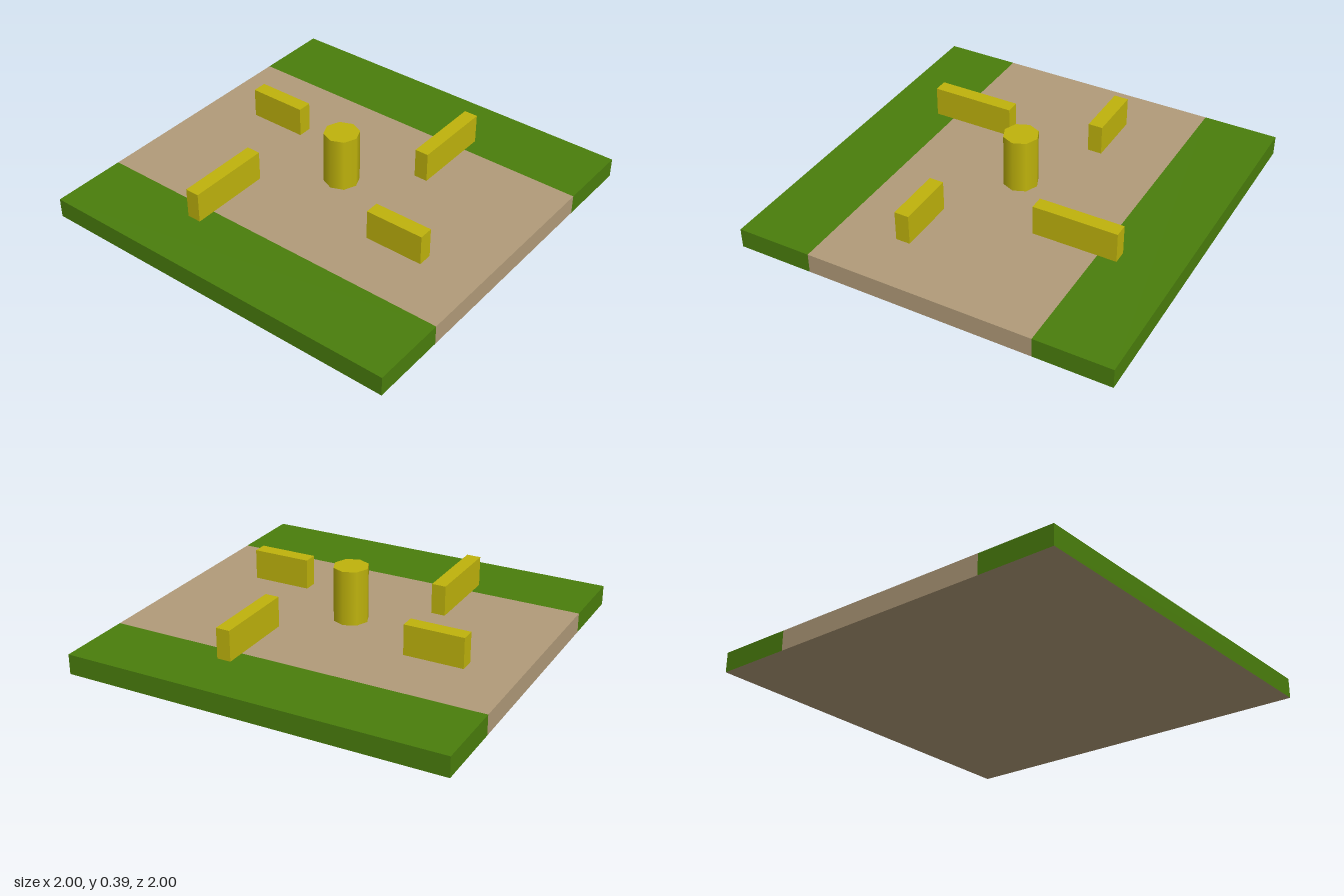
import * as THREE from 'three';

const grass = new THREE.MeshStandardMaterial({ color: 0x4a7e0c });
grass.name = 'grass green';
const dirt = new THREE.MeshStandardMaterial({ color: 0xb19b79 });
dirt.name = 'dirt tan';
const block = new THREE.MeshStandardMaterial({ color: 0xbfb30c });
block.name = 'block yellow';

const BASE = 0.105; // top of the ground slab

// Box given by its limits on each axis
function addBox(group, name, material, [x0, x1], [y0, y1], [z0, z1]) {
  const mesh = new THREE.Mesh(new THREE.BoxGeometry(x1 - x0, y1 - y0, z1 - z0), material);
  mesh.position.set((x0 + x1) / 2, (y0 + y1) / 2, (z0 + z1) / 2);
  mesh.name = name;
  group.add(mesh);
}

export function createModel() {
  const model = new THREE.Group();
  model.name = 'arena';

  // Ground: dirt strip between two grass verges with dirt undersides
  const verge = [grass, grass, grass, dirt, grass, grass];
  addBox(model, 'dirtStrip', dirt, [-1, 1], [0, BASE], [-0.6, 0.6]);
  addBox(model, 'frontVerge', verge, [-1, 1], [0, BASE], [0.6, 1]);
  addBox(model, 'backVerge', verge, [-1, 1], [0, BASE], [-1, -0.6]);

  // Four low walls around the centre
  const walls = [
    ['backRightWall', [-0.73, -0.415], [-0.25, -0.173]],
    ['frontLeftWall', [0.385, 0.70], [0.222, 0.298]],
    ['backLeftWall', [0.274, 0.348], [-0.70, -0.253]],
    ['frontRightWall', [-0.405, -0.33], [0.252, 0.70]],
  ];
  for (const [name, x, z] of walls) addBox(model, name, block, x, [BASE, 0.266], z);

  // Central eight-sided pillar with smooth sides
  const height = 0.394 - BASE;
  const pillar = new THREE.Mesh(new THREE.CylinderGeometry(0.092, 0.092, height, 8), block);
  pillar.position.y = BASE + height / 2;
  pillar.name = 'pillar';
  model.add(pillar);

  return model;
}
